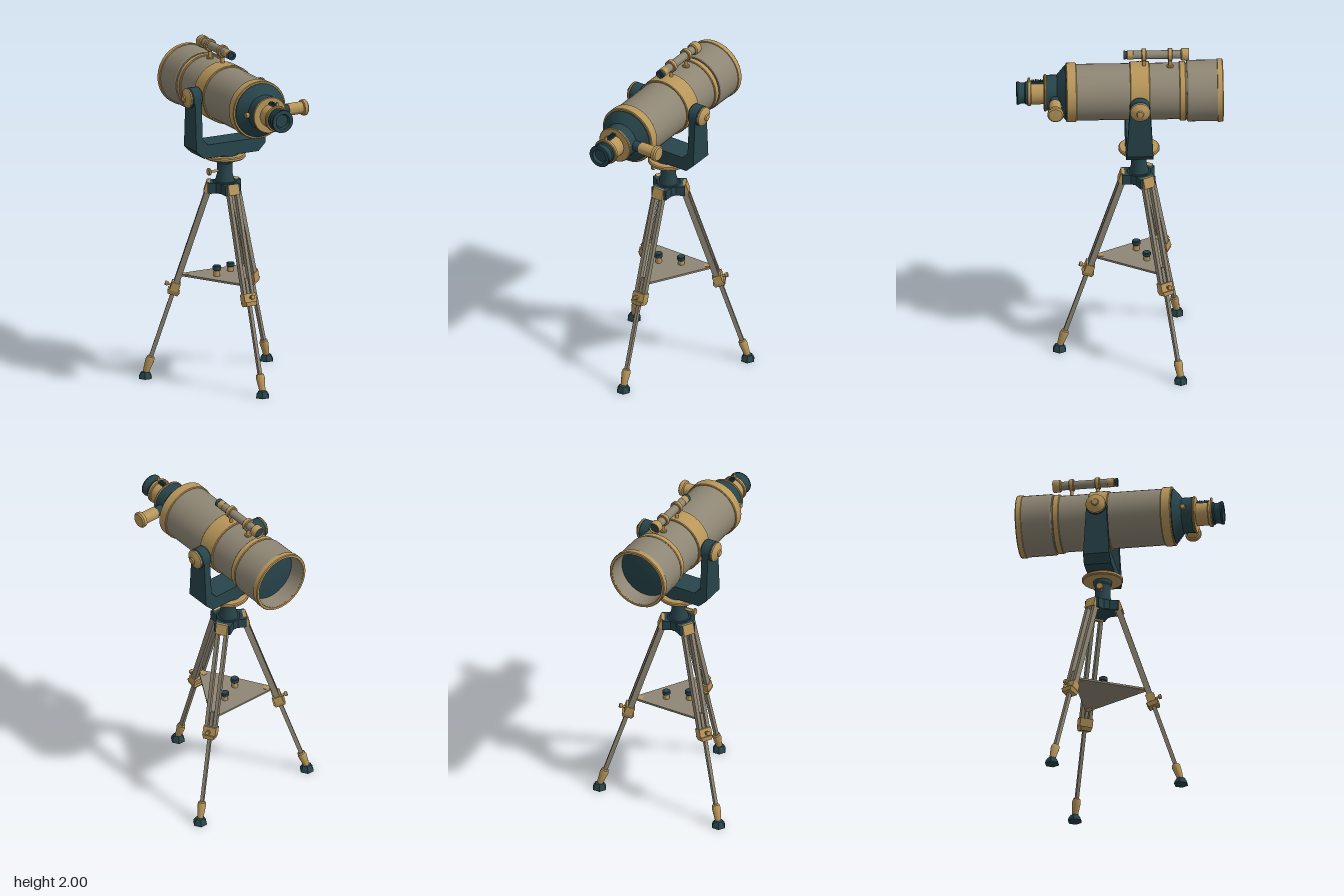
import * as THREE from 'three';
import { toCreasedNormals } from 'three/addons/utils/BufferGeometryUtils.js';

const mat = (name, color) => new THREE.MeshStandardMaterial({ name, color });
const GOLD = mat('brass', 0xb8965a);
const DARK = mat('dark teal', 0x27444b);
const GREY = mat('warm grey', 0x8e8674);

const AXIS_Y = 1.723; // height of the optical axis
const PIVOT_Z = -0.112; // centre of the mount and tripod

function add(parent, name, geo, material, x = 0, y = 0, z = 0) {
  const m = new THREE.Mesh(geo, material);
  m.name = name;
  m.position.set(x, y, z);
  parent.add(m);
  return m;
}

const box = (w, h, d) => new THREE.BoxGeometry(w, h, d);

// Turned part from [radius, position] pairs, along axis 'x', 'y' or 'z'
function turned(pts, axis = 'y', seg = 32) {
  const g = new THREE.LatheGeometry(pts.map(p => new THREE.Vector2(p[0], p[1])), seg);
  if (axis === 'z') g.rotateX(Math.PI / 2);
  if (axis === 'x') g.rotateZ(-Math.PI / 2);
  return toCreasedNormals(g, 0.5);
}

// Closed cylinder between two positions, with a small edge chamfer
function drum(r, a, b, axis, seg = 32, c = 0.004) {
  return turned([[0, a], [r - c, a], [r, a + c], [r, b - c], [r - c, b], [0, b]], axis, seg);
}

function makeTube() {
  const g = new THREE.Group();
  g.name = 'opticalTube';
  g.position.y = AXIS_Y;
  add(g, 'mainTube', drum(0.165, -0.42, 0.31, 'z'), GREY);
  add(g, 'dewShield', turned([[0.158, -0.5], [0.166, -0.594], [0.179, -0.594], [0.179, -0.396], [0.174, -0.388], [0.15, -0.388]], 'z'), GREY);
  add(g, 'dewShieldRim', turned([[0.165, -0.575], [0.167, -0.6], [0.18, -0.6], [0.184, -0.595], [0.184, -0.567], [0.178, -0.565]], 'z'), GOLD);
  add(g, 'objectiveLens', turned([[0, -0.515], [0.08, -0.511], [0.16, -0.5], [0.16, -0.48]], 'z'), DARK);
  add(g, 'frontBand', drum(0.173, -0.382, -0.345, 'z'), GOLD);
  add(g, 'saddleBand', drum(0.175, -0.172, -0.058, 'z'), GOLD);
  add(g, 'rearBand', drum(0.173, 0.253, 0.313, 'z'), GOLD);

  // Rear cell and focuser
  add(g, 'rearCell', turned([[0, 0.31], [0.16, 0.31], [0.16, 0.318], [0.104, 0.366], [0.104, 0.43], [0, 0.43]], 'z'), DARK);
  add(g, 'focuserFlange', drum(0.109, 0.428, 0.442, 'z'), GOLD);
  add(g, 'focuserTube', drum(0.067, 0.44, 0.52, 'z'), GOLD);
  add(g, 'focuserCollar', drum(0.077, 0.516, 0.538, 'z'), GOLD);
  add(g, 'eyepiece', turned([[0, 0.53], [0.066, 0.53], [0.066, 0.548], [0.06, 0.555], [0.061, 0.575], [0.069, 0.592], [0.067, 0.6], [0.045, 0.6], [0.038, 0.582], [0, 0.582]], 'z'), DARK);
  add(g, 'focuserRack', box(0.024, 0.014, 0.072), DARK, 0, 0.07, 0.48);
  for (let i = 0; i < 7; i++) add(g, 'rackTooth', box(0.024, 0.008, 0.005), DARK, 0, 0.08, 0.45 + i * 0.01);
  add(g, 'collarScrew', drum(0.008, 0.07, 0.1, 'y', 12, 0.002), GOLD, 0, 0, 0.528);
  add(g, 'focuserShaft', drum(0.03, 0.08, 0.15, 'x', 20), DARK, 0, 0, 0.38);
  add(g, 'focuserKnob', turned([[0, 0.145], [0.036, 0.145], [0.036, 0.238], [0.046, 0.242], [0.048, 0.262], [0.04, 0.27], [0, 0.272]], 'x', 24), GOLD, 0, 0, 0.38);
  add(g, 'lockScrew', drum(0.017, -0.132, -0.108, 'x', 16), GOLD, 0, 0, 0.38);
  add(g, 'lockScrewStem', drum(0.008, -0.11, -0.09, 'x', 12, 0.001), GOLD, 0, 0, 0.38);
  return g;
}

function makeFinder() {
  const g = new THREE.Group();
  g.name = 'finderScope';
  g.position.y = 1.967;
  add(g, 'finderTube', drum(0.025, -0.37, -0.06, 'z', 24), GREY);
  add(g, 'finderObjective', turned([[0, -0.39], [0.028, -0.39], [0.03, -0.403], [0.034, -0.403], [0.036, -0.398], [0.036, -0.36], [0.03, -0.354], [0, -0.354]], 'z', 24), GOLD);
  add(g, 'finderLens', drum(0.028, -0.395, -0.385, 'z', 24, 0.002), DARK);
  add(g, 'finderCollar', drum(0.026, -0.082, -0.04, 'z', 24), GOLD);
  add(g, 'finderEyepiece', turned([[0, -0.045], [0.02, -0.045], [0.026, -0.03], [0.026, -0.022], [0.014, -0.022], [0.012, -0.03], [0, -0.03]], 'z', 24), DARK);
  for (const z of [-0.14, -0.293]) {
    add(g, 'finderRing', drum(0.037, z - 0.014, z + 0.014, 'z', 24), GOLD);
    add(g, 'finderPost', drum(0.011, -0.09, -0.025, 'y', 14, 0.001), GOLD, 0, 0, z);
    add(g, 'finderPostFoot', drum(0.02, -0.086, -0.072, 'y', 14, 0.002), GOLD, 0, 0, z);
  }
  return g;
}

function makeMount() {
  const g = new THREE.Group();
  g.name = 'forkMount';
  g.position.z = PIVOT_Z;

  // U-shaped fork, narrowing in depth toward the top
  const half = [[0.18, 1.368], [0.228, 1.415], [0.228, 1.74], [0.185, 1.74], [0.185, 1.485], [0.15, 1.447]];
  const outline = [...half, ...half.map(([x, y]) => [-x, y]).reverse()];
  const fork = new THREE.ExtrudeGeometry(new THREE.Shape(outline.map(p => new THREE.Vector2(...p))), { depth: 0.16, bevelEnabled: false });
  fork.translate(0, 0, -0.08);
  const p = fork.attributes.position;
  for (let i = 0; i < p.count; i++) p.setZ(i, p.getZ(i) * (1 - 0.75 * (p.getY(i) - 1.368)));
  fork.computeVertexNormals();
  add(g, 'fork', fork, DARK);

  for (const s of [-1, 1]) {
    const side = new THREE.Group();
    side.name = s > 0 ? 'leftBearing' : 'rightBearing';
    side.position.y = AXIS_Y;
    if (s < 0) side.rotation.y = Math.PI;
    add(side, 'bearingHousing', drum(0.06, 0.172, 0.243, 'x', 24, 0.008), DARK);
    add(side, 'altitudeKnob', turned([[0, 0.24], [0.054, 0.24], [0.06, 0.245], [0.058, 0.252], [0.035, 0.266], [0.022, 0.27], [0.018, 0.277], [0, 0.278]], 'x', 24), GOLD);
    g.add(side);
  }

  add(g, 'turntable', drum(0.12, 1.334, 1.358, 'y', 32, 0.006), GOLD);
  add(g, 'turntableTop', drum(0.08, 1.35, 1.372, 'y'), DARK);
  add(g, 'pedestal', turned([[0, 1.17], [0.058, 1.17], [0.056, 1.2], [0.045, 1.24], [0.045, 1.3], [0.054, 1.315], [0.054, 1.336], [0, 1.336]], 'y', 24), DARK);
  add(g, 'clampScrew', drum(0.008, -0.1, -0.04, 'x', 12, 0.001), GOLD, 0, 1.26);
  add(g, 'clampScrewHead', drum(0.022, -0.112, -0.096, 'x', 16), GOLD, 0, 1.26);
  return g;
}

// One leg, spreading toward its local +z
function makeLeg(angle) {
  const g = new THREE.Group();
  g.name = 'tripodLeg';
  g.rotation.y = angle;
  add(g, 'hubArm', box(0.1, 0.06, 0.1), DARK, 0, 1.16, 0.05);
  const leg = new THREE.Group();
  leg.name = 'legShaft';
  leg.position.set(0, 1.16, 0.09);
  leg.rotation.x = -Math.atan(0.329);
  g.add(leg);
  add(leg, 'hinge', box(0.07, 0.064, 0.05), GOLD, 0, -0.002, 0);
  for (const s of [-1, 1]) add(leg, 'upperRail', box(0.02, 0.63, 0.034), GREY, s * 0.025, -0.335, 0);
  add(leg, 'lowerLeg', box(0.019, 0.6, 0.024), GREY, 0, -0.82, 0);
  add(leg, 'legClamp', box(0.078, 0.05, 0.052), GOLD, 0, -0.635, 0);
  const taper = new THREE.CylinderGeometry(0.052, 0.042, 0.025, 4).rotateY(Math.PI / 4).toNonIndexed();
  taper.computeVertexNormals();
  add(leg, 'clampTaper', taper, GOLD, 0, -0.672, 0);
  add(leg, 'clampScrew', drum(0.007, 0.02, 0.05, 'z', 12, 0.001), GOLD, 0, -0.635, 0);
  add(leg, 'clampScrewHead', drum(0.014, 0.044, 0.062, 'z', 12, 0.002), GOLD, 0, -0.635, 0);
  add(leg, 'ankle', turned([[0, -1.18], [0.018, -1.18], [0.026, -1.105], [0.022, -1.085], [0.016, -1.08], [0, -1.08]], 'y', 12), GOLD);
  const foot = turned([[0, 0], [0.043, 0], [0.041, 0.014], [0.026, 0.038], [0, 0.042]], 'y', 6).rotateY(Math.PI / 6);
  add(g, 'foot', foot, DARK, 0, 0, 0.462);
  add(g, 'trayBracket', box(0.03, 0.016, 0.06), GOLD, 0, 0.625, 0.238);
  return g;
}

function makeTripod() {
  const g = new THREE.Group();
  g.name = 'tripod';
  g.position.z = PIVOT_Z;
  add(g, 'hub', drum(0.07, 1.13, 1.195, 'y', 24), DARK);
  const tray = new THREE.Shape();
  for (let i = 0; i < 3; i++) {
    const a = i * Math.PI * 2 / 3;
    g.add(makeLeg(a));
    // Tray corners are cut off at each leg
    for (const s of [-1, 1]) {
      const x = Math.sin(a) * 0.245 + Math.cos(a) * s * 0.018;
      const z = Math.cos(a) * 0.245 - Math.sin(a) * s * 0.018;
      if (i === 0 && s < 0) tray.moveTo(x, -z); else tray.lineTo(x, -z);
    }
  }
  const plate = new THREE.ExtrudeGeometry(tray, { depth: 0.012, bevelEnabled: false }).rotateX(-Math.PI / 2);
  add(g, 'accessoryTray', plate, GREY, 0, 0.619, 0);

  // Spare eyepieces standing on the tray
  for (const [x, z, h] of [[-0.06, 0.014, 0.064], [0.06, -0.043, 0.053]]) {
    add(g, 'spareEyepieceBarrel', drum(0.019, 0.63, 0.63 + h * 0.6, 'y', 16, 0.002), GOLD, x, 0, z);
    add(g, 'spareEyepieceTop', drum(0.024, 0.63 + h * 0.55, 0.63 + h, 'y', 16), DARK, x, 0, z);
  }
  return g;
}

export function createModel() {
  const model = new THREE.Group();
  model.name = 'telescope';
  model.add(makeTube(), makeFinder(), makeMount(), makeTripod());
  return model;
}
